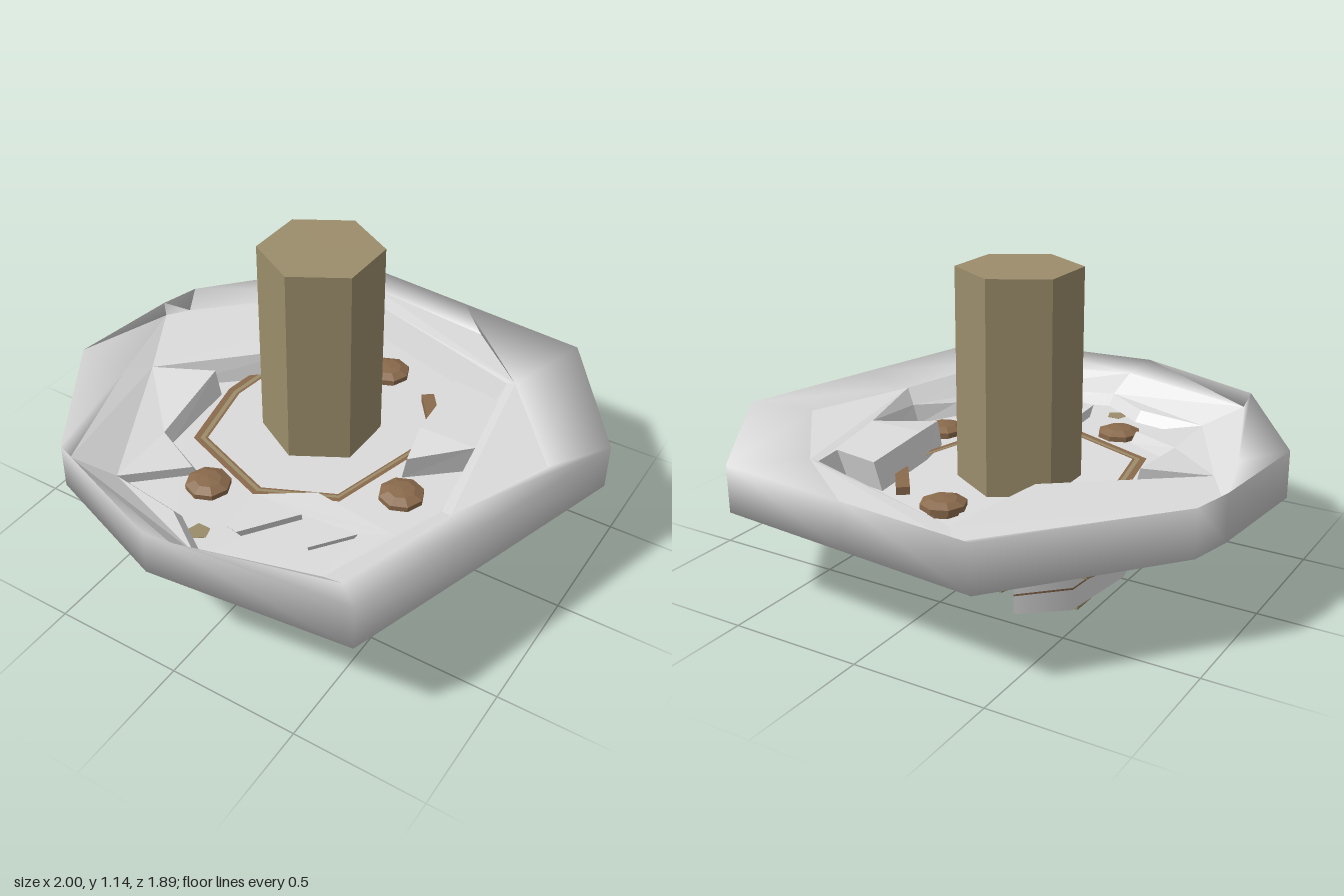
import * as THREE from 'three';

const grey = new THREE.MeshStandardMaterial({ color: 0xdcdcdc, side: THREE.DoubleSide });
grey.name = 'pale grey';
const tan = new THREE.MeshStandardMaterial({ color: 0x9b8d6b, side: THREE.DoubleSide });
tan.name = 'tan';
const brown = new THREE.MeshStandardMaterial({ color: 0x8a6a4c, side: THREE.DoubleSide });
brown.name = 'brown';

// Skin a list of equal-length loops of [x, y, z]; smooth normals
function loft(loops, closed) {
  const n = loops[0].length, index = [];
  for (let r = 0; r < loops.length - 1; r++) {
    for (let i = 0; i < (closed ? n : n - 1); i++) {
      const j = (i + 1) % n;
      const a = r * n + i, b = r * n + j, c = b + n, d = a + n;
      index.push(a, d, c, a, c, b);
    }
  }
  const g = new THREE.BufferGeometry();
  g.setAttribute('position', new THREE.Float32BufferAttribute(loops.flat(2), 3));
  g.setIndex(index);
  g.computeVertexNormals();
  return g;
}

// Split the corners of a geometry so every face is flat shaded
function faceted(geometry) {
  const g = geometry.index ? geometry.toNonIndexed() : geometry;
  g.computeVertexNormals();
  return g;
}

// Place a plan outline at a height (number or rule), scaled about the axis
const loop = (pts, y, s = 1) =>
  pts.map(([x, z], i) => [x * s, typeof y === 'function' ? y(i) : y, z * s]);

const toVectors = (pts) => pts.map(([x, z]) => new THREE.Vector2(x, -z));

function add(parent, name, geometry, material, x = 0, y = 0, z = 0) {
  const m = new THREE.Mesh(geometry, material);
  m.name = name;
  m.position.set(x, y, z);
  parent.add(m);
  return m;
}

// Plan outlines as [x, z]
const OUTER = [[-.42, -.95], [.11, -.905], [.64, -.86], [1, -.33], [.84, .2], [.64, .85],
  [-.13, .935], [-.66, .74], [-1, .23], [-.95, -.22], [-.91, -.38]];
const LEDGE = [[-.31, -.88], [.24, -.81], [.51, -.57], [.83, -.17], [.66, .25], [.52, .73],
  [-.06, .88], [-.64, .72], [-.83, .18], [-.94, -.215], [-.88, -.3]];
const POCKET = [[-.23, -.78], [.48, -.56], [.49, -.44], [.3, -.47], [.33, -.13], [.37, .04],
  [.56, -.13], [.6, .2], [.5, .37], [.17, .33], [-.02, .45], [-.01, .64], [.04, .65],
  [.18, .45], [.29, .58], [.4, .43], [.41, .67], [-.02, .81], [-.21, .68], [-.5, .64],
  [-.3, .45], [-.51, .35], [-.54, -.02], [-.78, .08], [-.3, -.35]];
const HUB = [[.2, -.42], [.375, -.21], [.24, .3], [-.05, .435], [-.43, .29], [-.5, -.04],
  [-.46, -.36], [-.3, -.49]];

export function createModel() {
  const model = new THREE.Group();

  // Dished wheel, leaning slightly to the back
  const disc = new THREE.Group();
  disc.name = 'disc';
  disc.rotation.x = -0.016;
  disc.position.set(0, -.01, .013);
  model.add(disc);
  const rim = loft([
    loop(OUTER, .325, .4), loop(OUTER, .325, .66), loop(OUTER, .36),
    loop(OUTER, .54), loop(LEDGE, .485),
  ], true);
  // Turn the normals of the upper edge outwards so it reads as rounded
  const normal = rim.attributes.normal;
  for (let i = 3 * OUTER.length; i < 4 * OUTER.length; i++) {
    const v = new THREE.Vector3(normal.getX(i), normal.getY(i) * .35, normal.getZ(i)).normalize();
    normal.setXYZ(i, v.x, v.y, v.z);
  }
  add(disc, 'rim', rim, grey);

  // Ragged plate with a torn pocket that sinks towards the front
  const plate = new THREE.Shape(toVectors(LEDGE));
  plate.holes.push(new THREE.Path(toVectors(POCKET)));
  const plateGeo = new THREE.ShapeGeometry(plate).rotateX(-Math.PI / 2);
  const pocketY = (z) => THREE.MathUtils.mapLinear(
    THREE.MathUtils.clamp(z, -.1, .4), -.1, .4, .48, .405);
  const pos = plateGeo.attributes.position;
  for (let i = 0; i < pos.count; i++) {
    pos.setY(i, i < LEDGE.length ? .485 : pocketY(pos.getZ(i)));
  }
  add(disc, 'raggedPlate', faceted(plateGeo), grey);
  add(disc, 'pocketWall', faceted(loft([
    loop(POCKET, .36, .95), loop(POCKET, (i) => pocketY(POCKET[i][1]))], true)), grey);
  const floorGeo = new THREE.ShapeGeometry(new THREE.Shape(toVectors(LEDGE)));
  floorGeo.rotateX(-Math.PI / 2);
  add(disc, 'pocketFloor', floorGeo, grey, 0, .362, 0);

  // Broken hub below: outer skin, inner skin with ceiling, lower edge
  const top = (i) => (i === 0 ? .12 : .325);
  add(model, 'hubOuterWall', loft([loop(HUB, .03), loop(HUB, top)]), grey);
  add(model, 'hubInnerWall', loft([
    loop(HUB, .33, .05), loop(HUB, top, .92), loop(HUB, .03, .92)]), grey);
  add(model, 'hubLowerEdge', loft([loop(HUB, .03, .92), loop(HUB, .03)]), tan);

  // Crack running across the hub, outside and inside
  const crackY = [.3, .25, .2, .14, .125, .11, .1];
  const crack = HUB.slice(1);
  for (const s of [1.004, .915]) {
    add(model, 'hubCrack', loft([
      loop(crack, (i) => crackY[i], s), loop(crack, (i) => crackY[i] + .007, s)]), brown);
  }

  // Two-tone liner showing in the pocket floor
  const liner = HUB.slice(1, 7);
  const bands = [['linerOuter', .99, .94, brown], ['linerMiddle', .94, .905, tan],
    ['linerInner', .905, .885, brown]];
  for (const [name, outer, inner, material] of bands) {
    add(model, name, loft([loop(liner, .37, outer), loop(liner, .37, inner)]), material);
  }
  for (const [x, z, length, turn] of [[.26, -.35, .2, .65], [-.285, -.425, .07, -.5]]) {
    add(model, 'linerEnd', new THREE.BoxGeometry(.05, .03, length), brown, x, .36, z)
      .rotation.y = turn;
  }

  // Hexagonal shaft
  add(model, 'shaft', faceted(new THREE.CylinderGeometry(.23, .23, .82, 6)), tan,
    -.07, .735, -.065);

  // Octagonal caps with shallow domes
  const capProfile = [[.06, -.04], [.06, .01], [.085, .01], [.085, .03], [.05, .045], [0, .05]]
    .map(([r, y]) => new THREE.Vector2(r, y));
  for (const [x, z] of [[-.01, -.48], [.41, .15], [-.215, .475]]) {
    add(model, 'cap', faceted(new THREE.LatheGeometry(capProfile, 8)), brown, x, .355, z);
  }

  // Small bolts under the disc
  const bolts = [[.62, -.28], [.14, -.74], [-.42, -.78], [-.61, -.57], [-.72, -.13],
    [.24, .4], [.5, .6], [-.1, .68], [-.52, .4]];
  for (const [x, z] of bolts) {
    add(disc, 'bolt', faceted(new THREE.CylinderGeometry(.042, .038, .05, 5)), tan, x, .338, z);
  }

  // Fragments on the lower hub edge: [x, y, z, width, height, depth]
  const bits = [[-.21, .015, .29, .2, .03, .18], [-.24, .05, .35, .03, .1, .03],
    [.085, .015, .34, .13, .03, .07], [.3, .025, .08, .11, .014, .06],
    [-.44, .025, -.28, .05, .014, .1]];
  for (const [x, y, z, w, h, d] of bits) {
    add(model, 'hubFragment', new THREE.BoxGeometry(w, h, d), tan, x, y, z);
  }
  return model;
}
